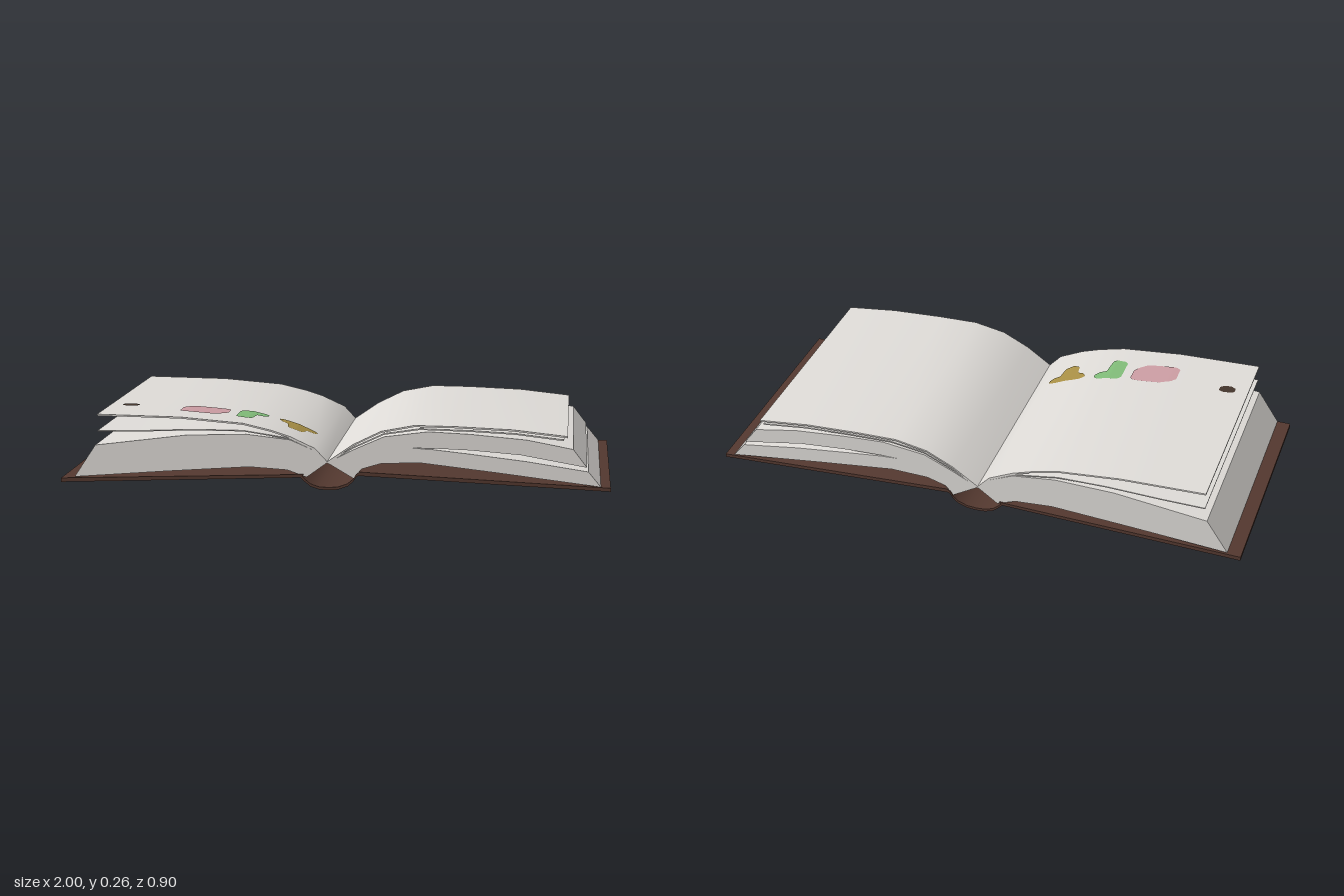
import * as THREE from 'three';
import { toCreasedNormals } from 'three/addons/utils/BufferGeometryUtils.js';

const material = (name, color, side = THREE.FrontSide) => {
  const m = new THREE.MeshStandardMaterial({ color, side });
  m.name = name;
  return m;
};

// Extrude a front cross-section evenly to both sides of z = 0.
function slab(name, outline, halfDepth, mat) {
  const shape = new THREE.Shape(outline.map(([x, y]) => new THREE.Vector2(x, y)));
  const geo = new THREE.ExtrudeGeometry(shape, { depth: halfDepth * 2, bevelEnabled: false });
  geo.translate(0, 0, -halfDepth);
  const mesh = new THREE.Mesh(toCreasedNormals(geo, 0.6), mat);
  mesh.name = name;
  return mesh;
}

// Give a line thickness straight downwards.
const sheet = (line, t) => [...line, ...line.map(([x, y]) => [x, y - t]).reverse()];

// Linear interpolation of column k along points sorted by x.
function sample(points, x, k = 1) {
  for (let i = 1; i < points.length; i++) {
    const a = points[i - 1], b = points[i];
    if (x <= b[0]) return a[k] + (b[k] - a[k]) * (x - a[0]) / (b[0] - a[0]);
  }
  return points[points.length - 1][k];
}

// Painted patch draped over a page; columns are [x, zBack, zFront].
function patch(name, columns, page, mat) {
  const pos = [], index = [], n = 24;
  const x0 = columns[0][0], x1 = columns[columns.length - 1][0];
  for (let i = 0; i <= n; i++) {
    const x = x0 + (x1 - x0) * i / n, y = sample(page, x) + 0.003;
    pos.push(x, y, sample(columns, x, 1), x, y, sample(columns, x, 2));
    if (i < n) {
      const a = i * 2;
      index.push(a, a + 1, a + 2, a + 1, a + 3, a + 2);
    }
  }
  const geo = new THREE.BufferGeometry();
  geo.setAttribute('position', new THREE.Float32BufferAttribute(pos, 3));
  geo.setIndex(index);
  geo.computeVertexNormals();
  const mesh = new THREE.Mesh(geo, mat);
  mesh.name = name;
  return mesh;
}

export function createModel() {
  const book = new THREE.Group();
  book.name = 'openBook';
  const paper = material('paper', 0xdedbd7);
  const leather = material('darkBrownCover', 0x53382f);
  const pink = material('pinkInk', 0xcb9ca2, THREE.DoubleSide);
  const green = material('greenInk', 0x80bb78, THREE.DoubleSide);
  const gold = material('goldInk', 0xa88f45, THREE.DoubleSide);
  const brown = material('darkInk', 0x43342b, THREE.DoubleSide);
  const H = 0.445;

  // Cover: two boards and the rounded spine between them
  book.add(slab('leftCover', [[-1, 0.005], [-0.11, 0.044], [-0.1, 0.056], [-1, 0.02]], 0.45, leather));
  book.add(slab('rightCover', [[0.095, 0.056], [1, 0.021], [1, 0.034], [0.1, 0.07]], 0.45, leather));
  const spine = [[-0.112, 0.054], [-0.095, 0.038], [-0.075, 0.022], [-0.045, 0.012], [-0.01, 0.01],
    [0.025, 0.013], [0.06, 0.026], [0.08, 0.043], [0.09, 0.06], [0.102, 0.069]];
  book.add(slab('spine', sheet(spine, 0.01), 0.45, leather));

  // Page blocks
  book.add(slab('leftPageBlock', [[-0.95, 0.025], [-0.6, 0.055], [-0.3, 0.078], [-0.16, 0.07], [-0.09, 0.045],
    [-0.015, 0.1], [-0.06, 0.143], [-0.15, 0.181], [-0.31, 0.198], [-0.53, 0.19], [-0.87, 0.145]], H, paper));
  book.add(slab('rightLowerPageBlock', [[0.965, 0.036], [0.92, 0.09], [0.7, 0.122], [0.5, 0.144], [0.36, 0.158],
    [0.2, 0.165], [0.08, 0.13], [-0.015, 0.1], [0.08, 0.045], [0.11, 0.08], [0.18, 0.102], [0.32, 0.108],
    [0.6, 0.078]], H, paper));
  book.add(slab('rightUpperPageBlock', [[0.36, 0.162], [0.5, 0.158], [0.68, 0.145], [0.915, 0.105], [0.865, 0.17],
    [0.7, 0.2], [0.5, 0.216], [0.35, 0.222], [0.19, 0.2], [0.08, 0.15], [-0.015, 0.1], [0.08, 0.128],
    [0.2, 0.16]], H, paper));

  // Loose pages lifting off the blocks
  const leftTop = [[-0.86, 0.26], [-0.7, 0.258], [-0.55, 0.256], [-0.32, 0.238], [-0.22, 0.215],
    [-0.15, 0.193], [-0.06, 0.152], [-0.015, 0.104]];
  const leftSecond = [[-0.86, 0.199], [-0.7, 0.203], [-0.5, 0.212], [-0.32, 0.212], [-0.15, 0.187],
    [-0.06, 0.147], [-0.015, 0.102]];
  const rightTop = [[-0.015, 0.104], [0.08, 0.17], [0.18, 0.22], [0.3, 0.244], [0.45, 0.243],
    [0.65, 0.236], [0.845, 0.216]];
  const rightSecond = [[-0.015, 0.102], [0.08, 0.16], [0.19, 0.212], [0.32, 0.233], [0.5, 0.23],
    [0.66, 0.223], [0.832, 0.204]];
  book.add(slab('leftTopPage', sheet(leftTop, 0.006), H, paper));
  book.add(slab('leftSecondPage', sheet(leftSecond, 0.004), H, paper));
  book.add(slab('rightTopPage', sheet(rightTop, 0.006), H, paper));
  book.add(slab('rightSecondPage', sheet(rightSecond, 0.005), H, paper));

  // Coloured shapes on the left page
  book.add(patch('darkSpot', [[-0.81, 0.23, 0.255], [-0.79, 0.222, 0.266], [-0.765, 0.22, 0.264],
    [-0.75, 0.228, 0.25]], leftTop, brown));
  book.add(patch('pinkShape', [[-0.577, 0.255, 0.325], [-0.56, 0.235, 0.338], [-0.52, 0.217, 0.338],
    [-0.45, 0.215, 0.335], [-0.415, 0.218, 0.305], [-0.403, 0.23, 0.285]], leftTop, pink));
  book.add(patch('greenShape', [[-0.367, 0.23, 0.33], [-0.355, 0.213, 0.342], [-0.325, 0.21, 0.347],
    [-0.307, 0.21, 0.34], [-0.3, 0.21, 0.265], [-0.275, 0.21, 0.258], [-0.26, 0.22, 0.24]], leftTop, green));
  book.add(patch('goldShape', [[-0.22, 0.228, 0.238], [-0.205, 0.215, 0.258], [-0.183, 0.211, 0.265],
    [-0.178, 0.211, 0.315], [-0.15, 0.21, 0.322], [-0.122, 0.21, 0.31], [-0.115, 0.21, 0.258],
    [-0.09, 0.212, 0.25], [-0.08, 0.22, 0.235]], leftTop, gold));

  return book;
}
